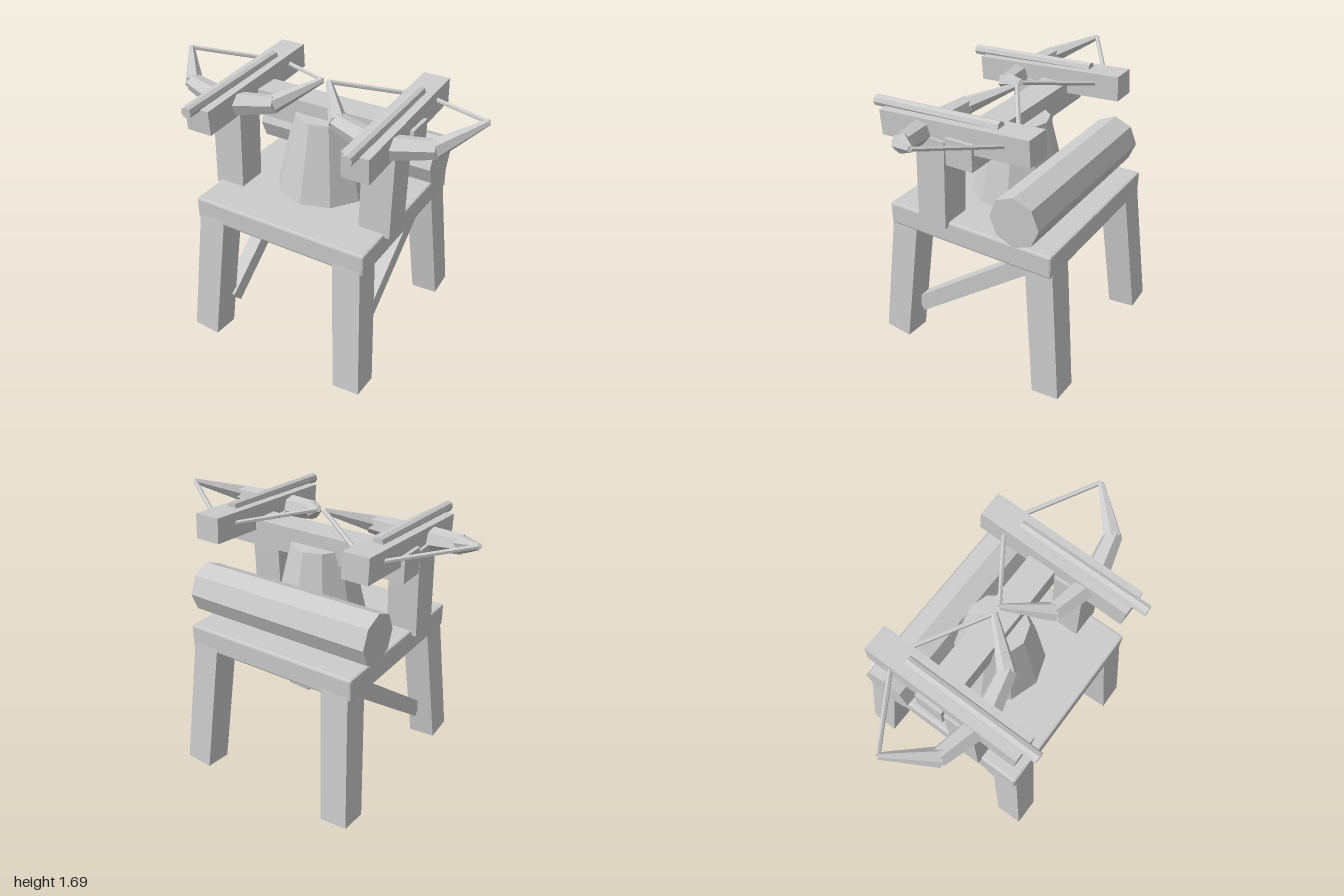
import * as THREE from 'three';
import { RoundedBoxGeometry } from 'three/addons/geometries/RoundedBoxGeometry.js';

const grey = new THREE.MeshStandardMaterial({ color: 0xcccccc, flatShading: true });
grey.name = 'plain grey';

function part(parent, name, geometry, x = 0, y = 0, z = 0, rx = 0, rz = 0) {
  const mesh = new THREE.Mesh(geometry, grey);
  mesh.name = name;
  mesh.position.set(x, y, z);
  mesh.rotation.set(rx, 0, rz);
  parent.add(mesh);
  return mesh;
}

const box = (w, h, d) => new THREE.BoxGeometry(w, h, d);

// Tapered rod running between two points
function rod(parent, name, from, to, r0, r1, sides) {
  const a = new THREE.Vector3(...from), b = new THREE.Vector3(...to);
  const dir = b.clone().sub(a);
  const mesh = part(parent, name, new THREE.CylinderGeometry(r1, r0, dir.length(), sides));
  mesh.position.copy(a).add(b).multiplyScalar(0.5);
  mesh.quaternion.setFromUnitVectors(new THREE.Vector3(0, 1, 0), dir.normalize());
  return mesh;
}

// Crossbow centred on x = 0
function crossbow(name) {
  const bow = new THREE.Group();
  bow.name = name;
  part(bow, 'stock', box(0.165, 0.153, 0.988), 0, 1.555, 0.062, 0.06);
  part(bow, 'bolt', new THREE.CylinderGeometry(0.034, 0.034, 0.85, 8), 0, 1.63, 0.22, Math.PI / 2 + 0.043);
  for (const s of [-1, 1]) {
    rod(bow, 'innerLimb', [0, 1.525, 0.29], [s * 0.3, 1.565, 0.225], 0.078, 0.056, 6);
    rod(bow, 'outerLimb', [s * 0.285, 1.563, 0.232], [s * 0.483, 1.672, 0], 0.056, 0.018, 6);
    rod(bow, 'bowstring', [s * 0.48, 1.672, 0], [0, 1.57, -0.318], 0.014, 0.014, 6);
  }
  return bow;
}

export function createModel() {
  const model = new THREE.Group();
  model.name = 'crossbowStand';

  // Table platform
  part(model, 'platform', new RoundedBoxGeometry(1.15, 0.145, 1.12, 1, 0.014), 0, 0.918, 0);

  // Splayed legs, foot centre to inside the platform
  const tiltX = 0.107, tiltZ = 0.071, legLength = 0.91;
  for (const sx of [-1, 1]) {
    for (const sz of [-1, 1]) {
      const geo = box(0.176, legLength, 0.178).translate(0, legLength / 2, 0);
      part(model, 'leg', geo, sx * 0.528, 0.0165, sz * 0.563, -sz * tiltX, sx * tiltZ);
    }

    // Diagonal side brace
    part(model, 'brace', box(0.09, 0.105, 1.06), sx * 0.45, 0.52, 0.037, 0.647);

    // Slightly leaning post with its crossbow
    part(model, 'post', box(0.198, 0.56, 0.193), sx * 0.506, 1.245, 0.208, -0.04);
    const bow = crossbow(sx > 0 ? 'leftCrossbow' : 'rightCrossbow');
    bow.position.x = sx * 0.505;
    model.add(bow);
  }

  // Beam tying the crossbows together
  part(model, 'crossBeam', box(1.22, 0.162, 0.175), 0, 1.472, 0.002);

  // Central tapered pedestal
  part(model, 'pedestal', new THREE.CylinderGeometry(0.186, 0.302, 0.485, 10), 0, 1.23, 0);

  // Eight-sided rear roller
  const roller = new THREE.CylinderGeometry(0.157, 0.157, 1.22, 8);
  part(model, 'roller', roller, 0, 1.16, -0.345, 0, Math.PI / 2);

  return model;
}
